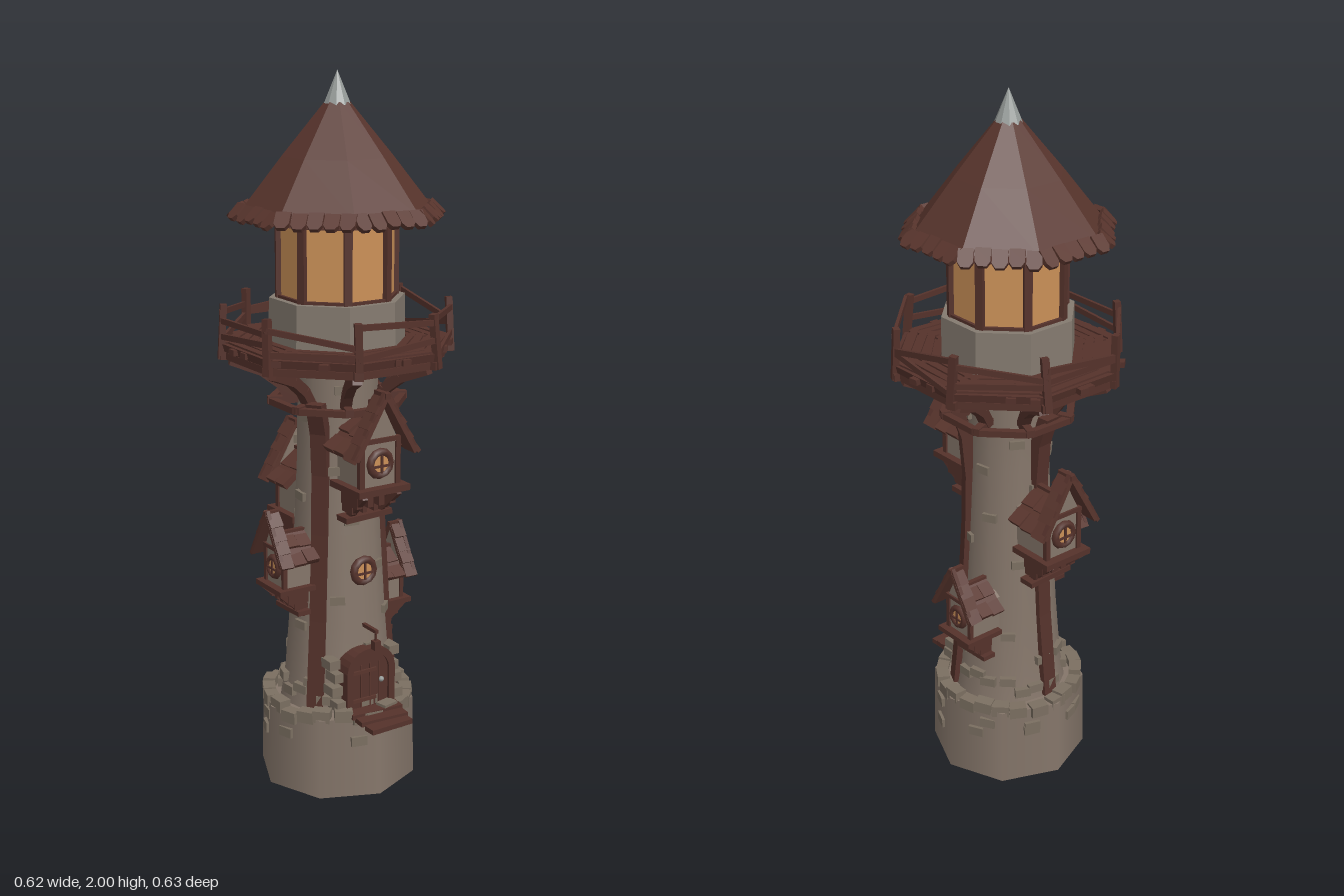
import * as THREE from 'three';

const mat = (name, color) => Object.assign(new THREE.MeshStandardMaterial({ color }), { name });
const TAU = Math.PI * 2, OCT = Math.PI / 8;

export function createModel() {
  const M = {
    stone: mat('stone', 0x85766a), brick: mat('darkStone', 0x7b6f61), wood: mat('wood', 0x55322b),
    roof: mat('roofTiles', 0x59352d), glow: mat('litGlass', 0xcb9158), metal: mat('metal', 0x959a98),
    pale: mat('paleStone', 0x857b70),
  };
  M.stone.side = THREE.DoubleSide;
  const root = new THREE.Group();
  let seed = 11;
  const rnd = (a = -1, b = 1) => {
    seed = (seed * 16807) % 2147483647;
    return a + (b - a) * seed / 2147483647;
  };

  // Helpers
  const add = (parent, name, geo, m, x = 0, y = 0, z = 0) => {
    const mesh = new THREE.Mesh(geo, m);
    mesh.name = name;
    mesh.position.set(x, y, z);
    parent.add(mesh);
    return mesh;
  };
  const box = (parent, name, m, w, h, d, x, y, z) => add(parent, name, new THREE.BoxGeometry(w, h, d), m, x, y, z);
  const flat = g => {
    const f = g.index ? g.toNonIndexed() : g;
    f.computeVertexNormals();
    return f;
  };
  const beam = (parent, name, a, b, w, h, m = M.wood) => {
    const mesh = new THREE.Mesh(new THREE.BoxGeometry(w, h, a.distanceTo(b)), m);
    mesh.name = name;
    mesh.position.copy(a).lerp(b, 0.5);
    mesh.lookAt(b);
    parent.add(mesh);
  };
  const V = (x, y, z) => new THREE.Vector3(x, y, z);
  const polar = (a, r, y) => V(Math.sin(a) * r, y, Math.cos(a) * r);
  // Group turned so that its own +z points outward at azimuth a
  const spoke = (name, a) => {
    const g = new THREE.Group();
    g.name = name;
    g.rotation.y = a;
    root.add(g);
    return g;
  };
  const lathe = (pts, n, phase = 0) => new THREE.LatheGeometry(pts.map(p => new THREE.Vector2(...p)), n, phase);
  const extrude = (pts, depth) => new THREE.ExtrudeGeometry(
    new THREE.Shape(pts.map(p => new THREE.Vector2(...p))), { depth, bevelEnabled: false });

  // Hollow foundation and shaft
  const profile = [[0.168, 0.22], [0.152, 0.32], [0.138, 0.5], [0.123, 0.75], [0.114, 0.95], [0.112, 1.1], [0.118, 1.26]];
  const radius = y => {
    const i = Math.max(1, profile.findIndex(p => p[1] >= y));
    const [r0, y0] = profile[i - 1], [r1, y1] = profile[i];
    return r0 + (r1 - r0) * (y - y0) / (y1 - y0);
  };
  add(root, 'foundation', new THREE.CylinderGeometry(0.222, 0.227, 0.235, 8, 1, true), M.stone, 0, 0.1175, 0);
  add(root, 'foundationTop', new THREE.RingGeometry(0.15, 0.222, 8).rotateX(-Math.PI / 2), M.stone, 0, 0.235, 0);
  add(root, 'shaft', lathe(profile, 16), M.stone);

  // Loose stones on foundation rim, shaft foot, shaft and foundation
  const brick = (a, r, y, w, h, d) => {
    const b = box(spoke('stoneBlock', a), 'block', M.brick, w, h, d, 0, y, r);
    b.rotation.z = rnd() * 0.06;
  };
  for (let i = 0; i < 24; i++) brick(i / 24 * TAU + rnd() * 0.05, 0.198, 0.235 + rnd() * 0.012, 0.05, 0.034, 0.036);
  for (let i = 0; i < 24; i++) {
    const y = 0.265 + 0.12 * rnd(0, 1) ** 2;
    brick(i / 24 * TAU + rnd() * 0.08, radius(y), y, 0.046, 0.026, 0.022);
  }
  for (let i = 0; i < 28; i++) {
    const y = 0.42 + i * 0.0285;
    brick(i * 2.4 + rnd() * 0.2, radius(y), y, 0.042, 0.024, 0.014);
  }
  for (let i = 0; i < 14; i++)
    brick((i % 8 + 0.5) * TAU / 8 + rnd() * 0.22, 0.209, i < 9 ? 0.185 + rnd() * 0.02 : rnd(0.09, 0.17), 0.046, 0.028, 0.014);

  // Three bowed timbers up the shaft
  const bow = [[0.174, 0.24], [0.148, 0.5], [0.134, 0.75], [0.13, 0.92], [0.14, 1.04], [0.17, 1.13]];
  for (const deg of [65, -55, 185]) {
    const g = spoke('bowedTimber', deg * Math.PI / 180);
    const outer = bow.map(([r, y]) => [-r, y]), inner = bow.map(([r, y]) => [-r + 0.035, y]).reverse();
    const geo = extrude([...outer, ...inner], 0.046);
    add(g, 'timber', geo.translate(0, 0, -0.023).rotateY(Math.PI / 2), M.wood);
  }

  // Gallery: collar, curved brackets, deck and crooked railing
  const corner = k => OCT + k * TAU / 8;
  add(root, 'deck', flat(new THREE.CylinderGeometry(0.322, 0.316, 0.022, 8, 1, false, OCT)), M.wood, 0, 1.267, 0);
  for (let k = 0; k < 8; k++) {
    const a = corner(k), b = corner(k + 1);
    beam(root, 'collar', polar(a, 0.186, 1.112), polar(b, 0.186, 1.112), 0.02, 0.018);
    beam(root, 'deckEdge', polar(a, 0.302, 1.244), polar(b, 0.302, 1.244), 0.02, 0.02);
    const g = spoke('bracket', a);
    beam(g, 'joist', V(0, 1.245, 0.1), V(0, 1.245, 0.324), 0.024, 0.022);
    beam(g, 'collarTie', V(0, 1.115, 0.1), V(0, 1.115, 0.195), 0.022, 0.02);
    const arc = [[0.125, 1.11], [0.16, 1.162], [0.21, 1.2], [0.295, 1.233]];
    for (let i = 0; i < 3; i++) {
      const [r0, y0] = arc[i], [r1, y1] = arc[i + 1];
      beam(g, 'curvedBrace', V(0, y0, r0), V(0, y1, r1), 0.026, 0.03);
    }
    const post = box(g, 'railPost', M.wood, 0.02, 0.15, 0.018, 0, 1.31, 0.316);
    post.rotation.set(rnd() * 0.08, 0, rnd() * 0.12);
    for (const y of [1.298, 1.346])
      beam(root, 'rail', polar(a, 0.32, y + rnd() * 0.03), polar(b, 0.32, y + rnd() * 0.03), 0.009, 0.016);
    // Deck planks and uneven board ends
    const side = spoke('deckBoards', k * TAU / 8);
    for (let i = 0; i < 4; i++) {
      const p = box(side, 'plank', M.wood, 0.2 + i * 0.018, 0.008, 0.022, 0, 1.279, 0.19 + i * 0.028);
      p.rotation.y = rnd() * 0.05;
    }
    for (let i = 0; i < 2; i++) {
      const t = box(side, 'boardEnd', M.wood, 0.026, 0.016, 0.05, rnd() * 0.1, 1.268, 0.285 + rnd() * 0.008);
      t.rotation.y = rnd() * 0.15;
    }
  }

  // Lantern room
  add(root, 'lanternWall', flat(new THREE.CylinderGeometry(0.188, 0.19, 0.13, 8, 1, false, OCT)), M.pale, 0, 1.335, 0);
  add(root, 'lanternGlass', flat(new THREE.CylinderGeometry(0.16, 0.16, 0.22, 8, 1, false, OCT)), M.glow, 0, 1.505, 0);
  for (let k = 0; k < 8; k++) {
    box(spoke('lanternPost', corner(k)), 'post', M.wood, 0.022, 0.22, 0.018, 0, 1.505, 0.16);
    for (const y of [1.402, 1.605])
      beam(root, 'lanternFrame', polar(corner(k), 0.162, y), polar(corner(k + 1), 0.162, y), 0.014, 0.012);
  }

  // Main roof, pointed eave tiles and spire
  add(root, 'mainRoof', flat(lathe([[0, 1.615], [0.265, 1.615], [0.262, 1.635], [0.15, 1.778], [0.034, 1.918], [0, 1.918]], 8, OCT)), M.roof);
  const tileGeo = extrude([[-0.02, 0.022], [-0.02, -0.016], [-0.011, -0.03], [0.011, -0.03], [0.02, -0.016], [0.02, 0.022]], 0.013)
    .rotateX(-Math.PI / 2);
  for (let k = 0; k < 8; k++) {
    const g = spoke('eaveTiles', k * TAU / 8);
    for (let i = -2; i <= 2; i++) {
      const t = add(g, 'tile', tileGeo, M.roof, i * 0.043, 1.631 + rnd() * 0.003, 0.25 + rnd() * 0.003);
      t.rotation.x = 0.76 + rnd() * 0.08;
    }
  }
  add(root, 'spire', flat(new THREE.ConeGeometry(0.038, 0.09, 10)), M.metal, 0, 1.955, 0);

  // Round window facing +z with a thick ring
  const roundWindow = (g, y, z) => {
    add(g, 'windowRing', new THREE.TorusGeometry(0.032, 0.012, 6, 12), M.wood, 0, y, z);
    add(g, 'windowPane', new THREE.CircleGeometry(0.026, 12), M.glow, 0, y, z + 0.006);
    box(g, 'mullion', M.wood, 0.006, 0.05, 0.006, 0, y, z + 0.008);
    box(g, 'mullion', M.wood, 0.05, 0.006, 0.006, 0, y - 0.006, z + 0.008);
  };
  roundWindow(spoke('shaftWindow', 0), 0.645, 0.136);

  // Pair of tiled roof slopes between two depths
  const gable = (g, top, front, depth, half, rows, cols) => {
    const mid = front - depth / 2, eave = -0.168, drop = top - eave, pitch = Math.atan2(half, drop);
    for (const sx of [-1, 1]) {
      beam(g, 'roofSlope', V(0, top, mid), V(sx * half, eave, mid), depth, 0.012, M.roof);
      for (let row = 0; row < rows; row++) for (let i = 0; i < cols; i++) {
        const t = (row + 0.55) / rows;
        const tile = box(g, 'tile', M.roof, 0.012, 0.05, depth / cols - 0.002,
          sx * (half * t + 0.008), top - drop * t + rnd() * 0.004, front - (i + 0.5) * depth / cols);
        tile.rotation.set(rnd() * 0.06, 0, sx * (pitch + 0.1 + rnd() * 0.05));
      }
    }
    box(g, 'ridgeBeam', M.wood, 0.016, 0.016, depth + 0.006, 0, top + 0.003, mid);
  };

  // Oriel: bay with a tall front gable and a low roof behind, origin at the front apex
  const oriel = (a, out, apex, s, shift = 0) => {
    const g = new THREE.Group();
    g.name = 'oriel';
    g.position.set(shift, apex, out);
    g.scale.setScalar(s);
    spoke('orielMount', a).add(g);
    add(g, 'bay', extrude([[-0.06, -0.26], [0.06, -0.26], [0.06, -0.14], [0, -0.1], [-0.06, -0.14]], 0.13), M.stone, 0, 0, -0.172);
    add(g, 'gableWall', extrude([[-0.06, -0.14], [0.06, -0.14], [0, -0.02]], 0.012), M.stone, 0, 0, -0.05);
    gable(g, -0.005, -0.004, 0.05, 0.094, 4, 1);
    gable(g, -0.085, -0.054, 0.1, 0.1, 2, 2);
    roundWindow(g, -0.195, -0.038);
    for (const sx of [-1, 1]) {
      beam(g, 'bargeBoard', V(0, 0.004, -0.012), V(sx * 0.098, -0.168, -0.012), 0.014, 0.018);
      box(g, 'cornerPost', M.wood, 0.015, 0.13, 0.015, sx * 0.058, -0.2, -0.043);
      beam(g, 'strut', V(sx * 0.055, -0.28, -0.03), V(sx * 0.045, -0.37, -0.13), 0.016, 0.018);
    }
    box(g, 'gableTie', M.wood, 0.125, 0.013, 0.014, 0, -0.13, -0.038);
    box(g, 'sill', M.wood, 0.165, 0.018, 0.15, 0, -0.268, -0.088);
    for (let i = 0; i < 4; i++) {
      box(g, 'corbel', M.wood, 0.018, 0.045, 0.08, (i - 1.5) * 0.036, -0.298, -0.095);
      box(g, 'corbelFoot', M.wood, 0.014, 0.03, 0.05, (i - 1.5) * 0.036, -0.328, -0.108);
    }
    const ledge = box(g, 'ledge', M.wood, 0.15, 0.016, 0.05, 0, -0.358, -0.112);
    ledge.rotation.z = 0.04;
  };
  oriel(0, 0.252, 1.17, 1);
  oriel(Math.PI / 2, 0.25, 0.695, 0.82, 0.04);
  oriel(-Math.PI / 2, 0.245, 0.82, 0.82, 0.01);
  oriel(Math.PI, 0.27, 0.995, 0.97);

  // Arched door, jamb stones, steps and hanging lamp
  const arch = (w, h) => {
    const s = new THREE.Shape();
    s.moveTo(-w, 0).lineTo(w, 0).lineTo(w, h - w * 0.8);
    s.quadraticCurveTo(w * 0.9, h, 0, h).quadraticCurveTo(-w * 0.9, h, -w, h - w * 0.8);
    return s;
  };
  const door = spoke('door', 0);
  const frame = arch(0.08, 0.192);
  frame.holes.push(arch(0.06, 0.172));
  const archOptions = { depth: 0.07, bevelEnabled: false, curveSegments: 6 };
  add(door, 'doorFrame', new THREE.ExtrudeGeometry(frame, archOptions), M.wood, 0, 0.235, 0.108);
  add(door, 'doorLeaf', new THREE.ExtrudeGeometry(arch(0.062, 0.174), archOptions), M.wood, 0, 0.235, 0.1);
  for (const x of [-0.03, 0, 0.03]) box(door, 'doorGroove', M.roof, 0.004, 0.14, 0.004, x, 0.31, 0.171);
  for (const y of [0.275, 0.36]) box(door, 'hinge', M.roof, 0.08, 0.01, 0.008, -0.02, y, 0.172);
  add(door, 'knob', new THREE.SphereGeometry(0.008, 8, 6), M.metal, 0.036, 0.325, 0.175);
  for (const sx of [-1, 1]) for (let i = 0; i < 4; i++)
    box(door, 'jambStone', M.brick, 0.034, 0.027, 0.05, sx * (0.096 + rnd() * 0.008), 0.268 + i * 0.04, 0.142 - i * 0.006 + rnd() * 0.008);
  for (let i = 0; i < 3; i++) {
    const step = box(door, 'step', M.wood, 0.16 - i * 0.012, 0.014, 0.04, 0, 0.246 - i * 0.008, 0.195 + i * 0.036);
    step.rotation.y = rnd() * 0.08;
  }
  beam(door, 'lampArm', V(0, 0.485, 0.13), V(0, 0.485, 0.205), 0.01, 0.01);
  box(door, 'lampChain', M.wood, 0.005, 0.03, 0.005, 0, 0.47, 0.2);
  box(door, 'lamp', M.wood, 0.02, 0.026, 0.02, 0, 0.445, 0.2);

  return root;
}
